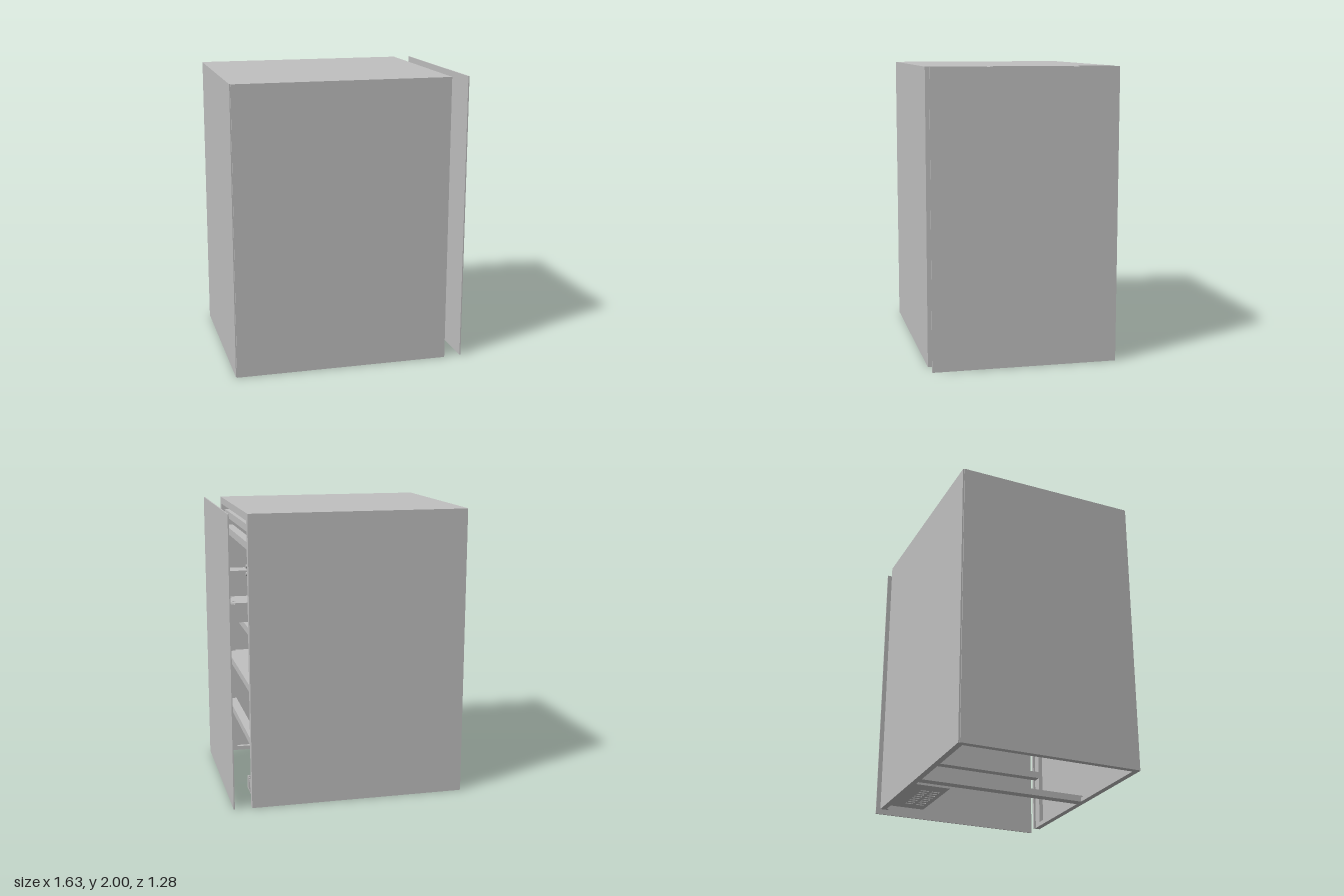
import * as THREE from 'three';

export function createModel() {
  const model = new THREE.Group();
  const steel = new THREE.MeshStandardMaterial({ color: 0xc0c0c0 });
  steel.name = 'grey steel';

  const add = (name, geometry, parent = model) => {
    const mesh = new THREE.Mesh(geometry, steel);
    mesh.name = name;
    parent.add(mesh);
    return mesh;
  };
  // Box given by its lower and upper limits on each axis
  const box = (name, x0, x1, y0, y1, z0, z1, parent) => {
    const mesh = add(name, new THREE.BoxGeometry(x1 - x0, y1 - y0, z1 - z0), parent);
    mesh.position.set((x0 + x1) / 2, (y0 + y1) / 2, (z0 + z1) / 2);
    return mesh;
  };
  const shapeOf = (points) => new THREE.Shape(points.map(([x, y]) => new THREE.Vector2(x, y)));

  // Outer shell, open below and on the +x end
  box('topPanel', -0.808, 0.685, 1.99, 2, -0.64, 0.64);
  box('sidePanel', -0.815, -0.803, 0, 2, -0.63, 0.63);
  for (const s of [-1, 1]) {
    const a = s * 0.64, b = s * 0.63, c = s * 0.585;
    const span = (p, q) => [Math.min(p, q), Math.max(p, q)];
    box('wallPanel', -0.808, 0.685, 0, 1.99, ...span(a, b));
    box('openingLip', 0.665, 0.685, 0, 1.99, ...span(b, c));
    box('bottomLip', -0.803, 0.665, 0, 0.03, ...span(b, s * 0.6));
    box('cornerPost', -0.803, -0.75, 0.03, 1.99, ...span(b, c));
    box('frontPost', 0.6, 0.665, 0.03, 1.99, ...span(b, s * 0.6));
  }
  box('sideBottomLip', -0.803, -0.775, 0, 0.03, -0.6, 0.6);
  box('topLip', 0.665, 0.685, 1.95, 1.99, -0.585, 0.585);

  // Detached side cover
  box('sideCover', 0.804, 0.812, 0, 2, -0.635, 0.63);

  // Inner frame rails and shelves
  box('floorBeam', -0.065, 0, 0, 0.045, -0.63, 0.63);
  box('lowerShelf', -0.803, 0.65, 0.78, 0.81, -0.63, 0.63);
  box('upperShelf', -0.803, 0.6, 1.17, 1.19, -0.63, 0.63);
  for (const y of [0.38, 0.76, 1.16, 1.74, 1.86]) {
    box('crossRail', 0.6, 0.66, y, y + 0.05, -0.63, 0.63);
  }

  // Ventilated tray at the lower opening: slots cut in the base
  const base = shapeOf([[0.13, -0.62], [0.665, -0.62], [0.665, -0.32], [0.13, -0.32]]);
  for (let row = 0; row < 2; row++) {
    for (let i = 0; i < 8; i++) {
      const x = 0.24 + i * 0.045, z = -0.49 + row * 0.08;
      base.holes.push(new THREE.Path([[x, z], [x, z + 0.055], [x + 0.018, z + 0.055], [x + 0.018, z]]
        .map(([u, v]) => new THREE.Vector2(u, v))));
    }
  }
  const tray = new THREE.Group();
  tray.name = 'ventTray';
  model.add(tray);
  const trayBase = add('trayBase',
    new THREE.ExtrudeGeometry(base, { depth: 0.008, bevelEnabled: false }), tray);
  trayBase.rotation.x = Math.PI / 2;
  trayBase.position.y = 0.038;
  box('traySide', 0.13, 0.665, 0.038, 0.12, -0.328, -0.32, tray);
  box('trayBack', 0.13, 0.138, 0.038, 0.12, -0.62, -0.328, tray);
  for (let i = 0; i < 8; i++) {
    const z = -0.58 + i * 0.034;
    box('trayGrilleBar', 0.657, 0.665, 0.038, 0.12, z, z + 0.016, tray);
  }

  // Bracket with a knob on the inside of the front wall
  box('knobPlate', -0.56, -0.4, 0.5, 0.515, 0.49, 0.63);
  const knob = add('knob', new THREE.CylinderGeometry(0.035, 0.035, 0.05, 20));
  knob.position.set(-0.49, 0.6, 0.57);
  const stem = add('knobStem', new THREE.CylinderGeometry(0.018, 0.018, 0.08, 16));
  stem.position.set(-0.49, 0.55, 0.57);

  // Wedge housing that stands out of the opening
  const wedge = shapeOf([[0.6, 1.22], [0.78, 1.22], [0.78, 1.25], [0.755, 1.35], [0.755, 1.545], [0.6, 1.545]]);
  const housing = add('wedgeHousing',
    new THREE.ExtrudeGeometry(wedge, { depth: 0.15, bevelEnabled: false }));
  housing.position.z = -0.08;
  box('housingHandle', 0.755, 0.775, 1.38, 1.43, -0.03, 0.02);

  // Pair of chamfered mounting plates with sockets
  for (const z of [-0.235, 0.23]) {
    const bracket = new THREE.Group();
    bracket.name = 'mountingBracket';
    bracket.position.z = z;
    model.add(bracket);
    const outline = shapeOf([[0.6, -0.13], [0.735, -0.13], [0.76, -0.095], [0.76, 0.095], [0.735, 0.13], [0.6, 0.13]]);
    for (const s of [-1, 1]) {
      const hole = new THREE.Path();
      hole.absarc(0.735, s * 0.072, 0.01, 0, Math.PI * 2, true);
      outline.holes.push(hole);
    }
    const plate = add('bracketPlate',
      new THREE.ExtrudeGeometry(outline, { depth: 0.012, bevelEnabled: false, curveSegments: 10 }), bracket);
    plate.rotation.x = Math.PI / 2;
    plate.position.y = 1.37;
    box('bracketWeb', 0.6, 0.758, 1.22, 1.358, -0.05, 0.05, bracket);
    box('socket', 0.758, 0.797, 1.25, 1.36, -0.048, 0.048, bracket);
  }

  // Small screw heads on the opening lips
  for (const z of [-0.565, 0.56]) {
    for (const y of [1.6, 1.65]) {
      const screw = add('screwHead', new THREE.CylinderGeometry(0.012, 0.012, 0.05, 12));
      screw.rotation.z = Math.PI / 2;
      screw.position.set(0.664, y, z);
    }
  }
  return model;
}
